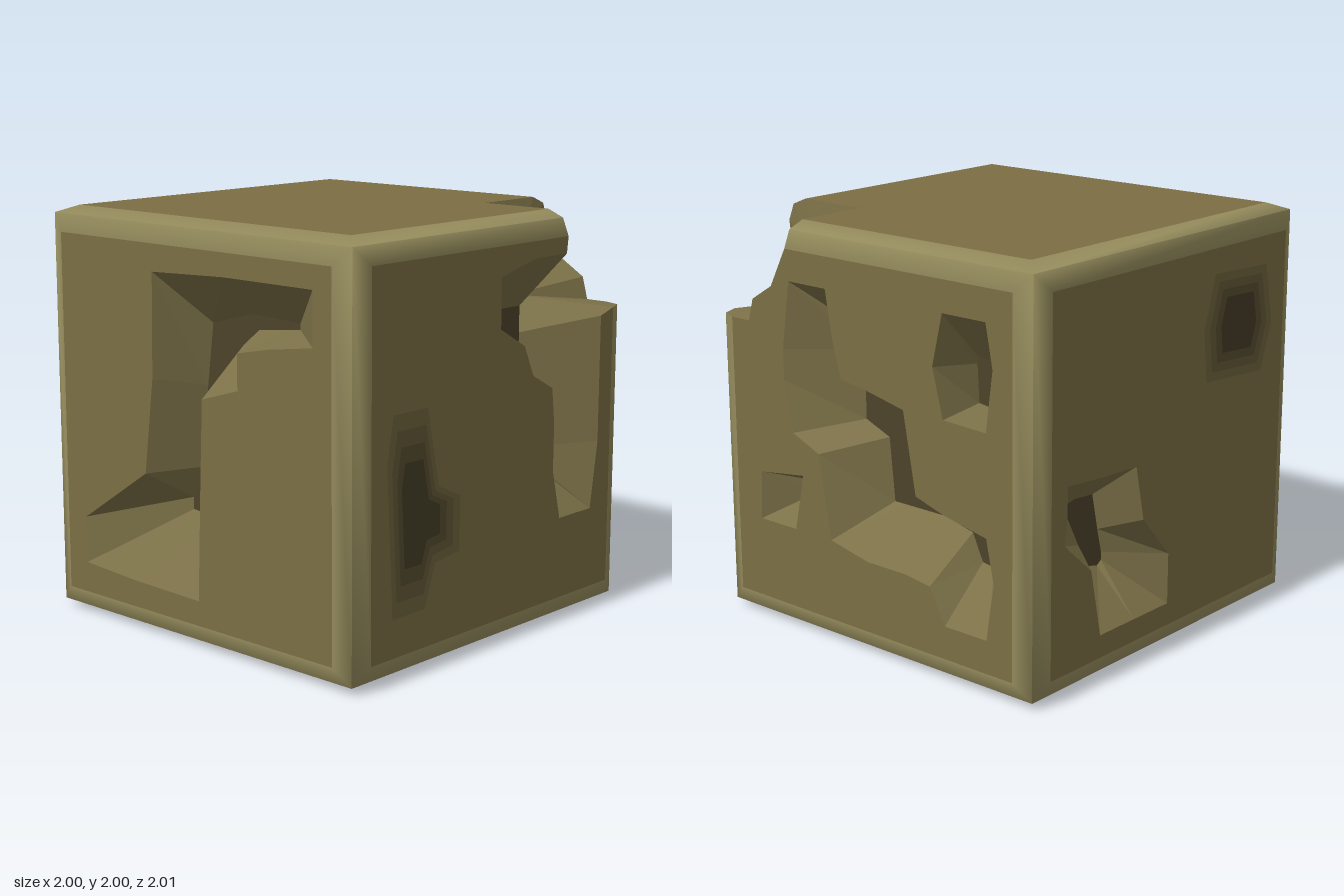
import * as THREE from 'three';

const OUT = 0.965, IN = 0.88; // rim edge and flat panel half sizes
const mat = (color, side = THREE.FrontSide) => new THREE.MeshStandardMaterial({ color, side, roughness: 0.9 });
const panelMat = mat(0x7c6e44), rimMat = mat(0x948b5c);
const wallMat = mat(0x7c7148, THREE.DoubleSide), floorMat = mat(0x4c432a, THREE.DoubleSide);
const clamp = (p) => p.map((c) => THREE.MathUtils.clamp(c, -IN, IN));
const v2 = (pts) => pts.map(([x, y]) => new THREE.Vector2(x, y));

function named(name, geometry, material) {
  const mesh = new THREE.Mesh(geometry, material);
  mesh.name = name;
  return mesh;
}

// Flat-shaded mesh from a list of triangles of 3D points
function facets(name, tris, material) {
  const g = new THREE.BufferGeometry();
  g.setAttribute('position', new THREE.Float32BufferAttribute(tris.flat(2), 3));
  g.computeVertexNormals();
  return named(name, g, material);
}

// Softly rounded strip between the flat panel and the block's edge
function rim(ring, closed) {
  const pos = [], nor = [], n = ring.length;
  const put = (p, outer) => {
    const q = outer ? p : clamp(p);
    pos.push(q[0], q[1], outer ? OUT : 1);
    const tilt = p.map((c) => (outer && Math.abs(c) === OUT ? Math.sign(c) * 0.5 : 0));
    nor.push(...new THREE.Vector3(tilt[0], tilt[1], 1).normalize().toArray());
  };
  for (let i = 0; i < (closed ? n : n - 1); i++) {
    const a = ring[i], b = ring[(i + 1) % n];
    put(a, true); put(b, true); put(b, false);
    put(a, true); put(b, false); put(a, false);
  }
  const g = new THREE.BufferGeometry();
  g.setAttribute('position', new THREE.Float32BufferAttribute(pos, 3));
  g.setAttribute('normal', new THREE.Float32BufferAttribute(nor, 3));
  return named('roundedRim', g, rimMat);
}

// Eroded pocket: clockwise pairs [openingU, openingV, floorU, floorV]
function cavity(pairs, depth, closed = true) {
  const group = new THREE.Group(), rows = [...pairs].reverse(), n = rows.length, w = 1 - depth;
  group.name = 'erodedCavity';
  const top = rows.map((p) => [p[0], p[1], 1]), low = rows.map((p) => [p[2], p[3], w]);
  const walls = [];
  for (let i = 0; i < (closed ? n : n - 1); i++) {
    const j = (i + 1) % n;
    walls.push([top[i], top[j], low[j]], [top[i], low[j], low[i]]);
  }
  const floor = new THREE.ShapeGeometry(new THREE.Shape(v2(low))).translate(0, 0, w);
  group.add(facets('cavityWalls', walls, wallMat), named('cavityFloor', floor, floorMat));
  return group;
}

// Soft dark patch made of nested thin layers
function stain(points, [cx, cy]) {
  const group = new THREE.Group();
  group.name = 'darkPatch';
  const light = new THREE.Color(0x7c6e44), dark = new THREE.Color(0x453d27);
  for (let i = 0; i < 4; i++) {
    const s = 1 - i * 0.16;
    const pts = points.map(([x, y]) => [cx + (x - cx) * s, cy + (y - cy) * s]);
    const g = new THREE.ShapeGeometry(new THREE.Shape(v2(pts))).translate(0, 0, 1.001 + i * 0.0008);
    group.add(named('patchLayer', g, mat(light.clone().lerp(dark, (i + 1) / 4))));
  }
  return group;
}

// One side of the block, facing +z before it is turned
const SQUARE = [[-OUT, -OUT], [OUT, -OUT], [OUT, OUT], [-OUT, OUT]];
function side(name, rotation, { ring, bite = [], pockets = [], extras = [] } = {}) {
  const group = new THREE.Group();
  group.name = name;
  const shape = new THREE.Shape(v2([...(ring || SQUARE).map(clamp), ...bite]));
  for (const p of pockets) {
    shape.holes.push(new THREE.Path(v2(p.pairs)));
    group.add(cavity(p.pairs, p.depth));
  }
  group.add(named('panel', new THREE.ShapeGeometry(shape).translate(0, 0, 1), panelMat));
  group.add(rim(ring || SQUARE, !ring), ...extras);
  group.rotation.set(...rotation);
  return group;
}

export function createModel() {
  const model = new THREE.Group(), block = new THREE.Group();
  model.name = 'weatheredBlock';
  block.name = 'block';
  block.position.y = 1;
  model.add(block);
  const H = Math.PI / 2;

  // Front: branching groove that opens into the broken corner
  const groove = [
    [.78, .47, .46, .4], [.78, -.15, .46, -.17], [.73, -.48, .47, -.2], [.48, -.48, .46, -.2],
    [.42, -.24, .45, -.17], [.42, 0, .45, 0], [.4, .17, .44, .2], [.25, .25, .32, .3],
    [.18, .4, .3, .4], [0, .5, .08, .48], [0, .74, .07, .53], [.25, .8, .25, .53], [.49, .8, .46, .53],
  ];
  block.add(side('front', [0, 0, 0], {
    ring: [[.5, OUT], [-OUT, OUT], [-OUT, -OUT], [OUT, -OUT], [OUT, .5]],
    bite: groove.map((p) => p.slice(0, 2)),
    extras: [
      cavity(groove, 0.25, false),
      stain([[-.74, .22], [-.51, .22], [-.43, -.15], [-.28, -.22], [-.28, -.48], [-.45, -.5],
        [-.52, -.7], [-.74, -.7], [-.78, 0]], [-.58, -.25]),
    ],
  }));

  // Right: large stepped cavity and two small pits
  block.add(side('rightSide', [0, H, 0], {
    ring: [[-OUT, .5], [-OUT, -OUT], [OUT, -OUT], [OUT, OUT], [-.5, OUT]],
    bite: [[-.6, .69], [-.73, .61], [-.76, .5]],
    pockets: [
      { depth: 0.25, pairs: [
        [-.48, .73, -.24, .49], [-.24, .73, -.22, .49], [-.2, .5, -.19, .48], [-.15, .32, -.1, .18],
        [0, .3, 0, .16], [.24, .25, .2, .13], [.31, -.14, .25, -.17], [.48, -.19, .45, -.22],
        [.73, -.24, .56, -.26], [.78, -.48, .57, -.48], [.73, -.72, .56, -.49], [.48, -.72, .49, -.48],
        [.39, -.55, .43, -.35], [.24, -.53, .26, -.31], [0, -.53, 0, -.31], [-.24, -.48, -.06, -.31],
        [-.31, -.07, -.09, 0], [-.48, 0, -.24, .06], [-.53, .25, -.24, .25], [-.53, .4, -.24, .4]] },
      { depth: 0.23, pairs: [
        [.48, .73, .49, .49], [.73, .73, .57, .49], [.78, .47, .57, .46], [.73, .24, .56, .27],
        [.48, .25, .49, .28], [.42, .48, .48, .46]] },
      { depth: 0.2, pairs: [
        [-.71, -.24, -.54, -.3], [-.42, -.2, -.45, -.27], [-.48, -.48, -.46, -.32], [-.72, -.48, -.54, -.36]] },
    ],
  }));

  // Back: crooked pit low on one side, dark patch high on the other
  block.add(side('back', [0, Math.PI, 0], {
    pockets: [{ depth: 0.22, pairs: [
      [-.77, 0, -.5, -.2], [-.52, -.02, -.45, -.19], [-.28, -.03, -.32, -.2], [-.22, -.3, -.28, -.38],
      [-.02, -.52, -.25, -.5], [-.02, -.77, -.25, -.54], [-.28, -.77, -.28, -.56], [-.53, -.77, -.36, -.54],
      [-.6, -.44, -.42, -.42], [-.79, -.27, -.5, -.27]] }],
    extras: [stain([[.25, .25], [.7, .22], [.78, .45], [.72, .74], [.3, .76], [.22, .5]], [.5, .5])],
  }));

  // Left: long diagonal groove
  block.add(side('leftSide', [0, -H, 0], {
    pockets: [{ depth: 0.25, pairs: [
      [.77, .77, .46, .56], [.77, .52, .46, .53], [.5, .48, .36, .52], [.31, .44, .2, .5], [.31, .27, .1, .42],
      [.08, .2, -.03, .2], [.06, -.25, -.07, -.2], [.04, -.76, -.08, -.4], [-.4, -.75, -.15, -.43],
      [-.75, -.73, -.25, -.42], [-.75, -.5, -.25, -.36], [-.31, -.21, -.18, -.2], [-.25, .25, -.14, .2],
      [-.24, .75, -.1, .5], [.22, .77, .16, .57]] }],
  }));

  block.add(side('top', [-H, 0, 0], {
    ring: [[OUT, -.5], [OUT, OUT], [-OUT, OUT], [-OUT, -OUT], [.5, -OUT]],
    bite: [[.5, -.5]],
  }));
  block.add(side('bottom', [H, 0, 0]));

  // Broken corner: facets fanned around its deepest point
  const deep = [.55, .56, .63];
  const lip = [
    [.5, 1, .5], [.5, 1, IN], [.5, OUT, OUT], [.5, IN, 1], [.49, .8, 1], [.46, .53, .75], [.46, .4, .75],
    [.78, .47, 1], [IN, .5, 1], [OUT, .5, OUT], [1, .5, IN], [1, .5, .76], [1, .61, .73], [1, .69, .6],
    [1, IN, .5], [OUT, OUT, .5], [IN, 1, .5],
  ];
  block.add(facets('brokenCorner', lip.map((p, i) => [deep, p, lip[(i + 1) % lip.length]]), wallMat));
  return model;
}
